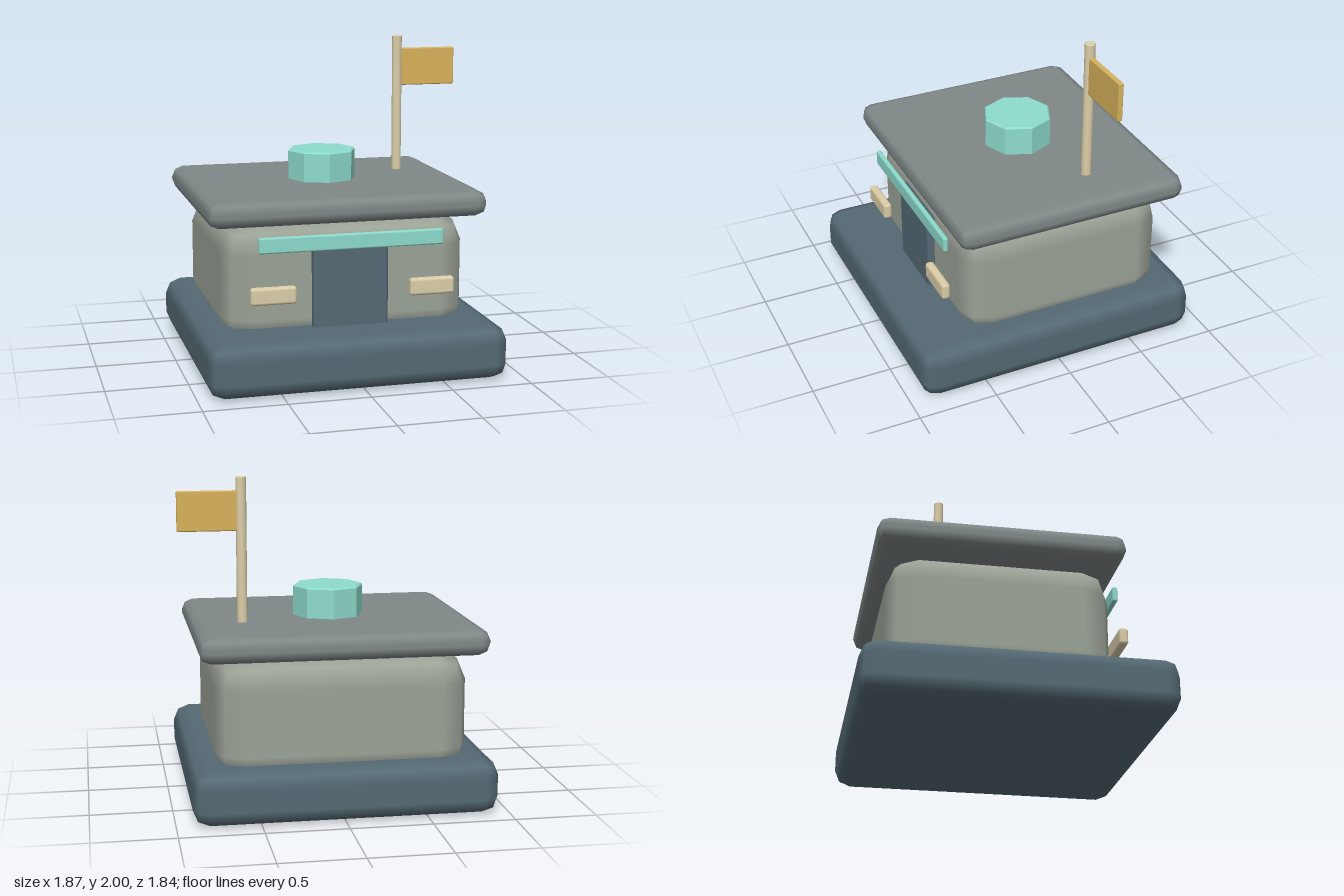
import * as THREE from 'three';
import { RoundedBoxGeometry } from 'three/addons/geometries/RoundedBoxGeometry.js';
import { toCreasedNormals } from 'three/addons/utils/BufferGeometryUtils.js';

const material = (color) => new THREE.MeshStandardMaterial({ color });
const slate = material(0x556a74);
const stone = material(0x9ba397);
const roofGrey = material(0x7f8988);
const mint = material(0x8edccd);
const cream = material(0xdccfa9);
const gold = material(0xd9b35c);

export function createModel() {
  const group = new THREE.Group();

  const add = (name, geometry, mat, x, y, z) => {
    const mesh = new THREE.Mesh(geometry, mat);
    mesh.name = name;
    mesh.position.set(x, y, z);
    group.add(mesh);
  };

  // Bevelled box given by its extents on each axis
  const block = (name, mat, [x0, x1], [y0, y1], [z0, z1], bevel) =>
    add(name, new RoundedBoxGeometry(x1 - x0, y1 - y0, z1 - z0, 1, bevel), mat,
      (x0 + x1) / 2, (y0 + y1) / 2, (z0 + z1) / 2);

  // Upright prism with a narrow bevel at both ends, standing on y
  const post = (name, mat, radius, height, sides, bevel, crease, x, y, z) => {
    const profile = [
      [0, 0], [radius - bevel, 0], [radius, bevel],
      [radius, height - bevel], [radius - bevel, height], [0, height],
    ].map(([r, h]) => new THREE.Vector2(r, h));
    add(name, toCreasedNormals(new THREE.LatheGeometry(profile, sides), crease), mat, x, y, z);
  };

  // Main masses
  block('base', slate, [-0.938, 0.902], [0, 0.33], [-0.92, 0.92], 0.1);
  block('body', stone, [-0.785, 0.75], [0.2, 0.957], [-0.765, 0.567], 0.18);
  block('roof', roofGrey, [-0.885, 0.85], [0.958, 1.116], [-0.843, 0.64], 0.07);

  // Front fittings
  block('door', slate, [-0.255, 0.217], [0.22, 0.84], [0.555, 0.613], 0.02);
  block('signBoard', mint, [-0.59, 0.555], [0.806, 0.903], [0.609, 0.643], 0.012);
  for (const [name, x] of [['rightLamp', -0.509], ['leftLamp', 0.474]]) {
    block(name, cream, [x - 0.141, x + 0.141], [0.504, 0.61], [0.627, 0.683], 0.018);
  }

  // Roof fittings
  post('roofVent', mint, 0.219, 0.226, 8, 0.01, 0.5, -0.018, 1.08, -0.11);
  post('flagPole', cream, 0.032, 0.9, 12, 0.005, 0.7, 0.544, 1.1, -0.309);
  block('flag', gold, [0.565, 0.932], [1.673, 1.916], [-0.324, -0.291], 0.008);

  return group;
}
